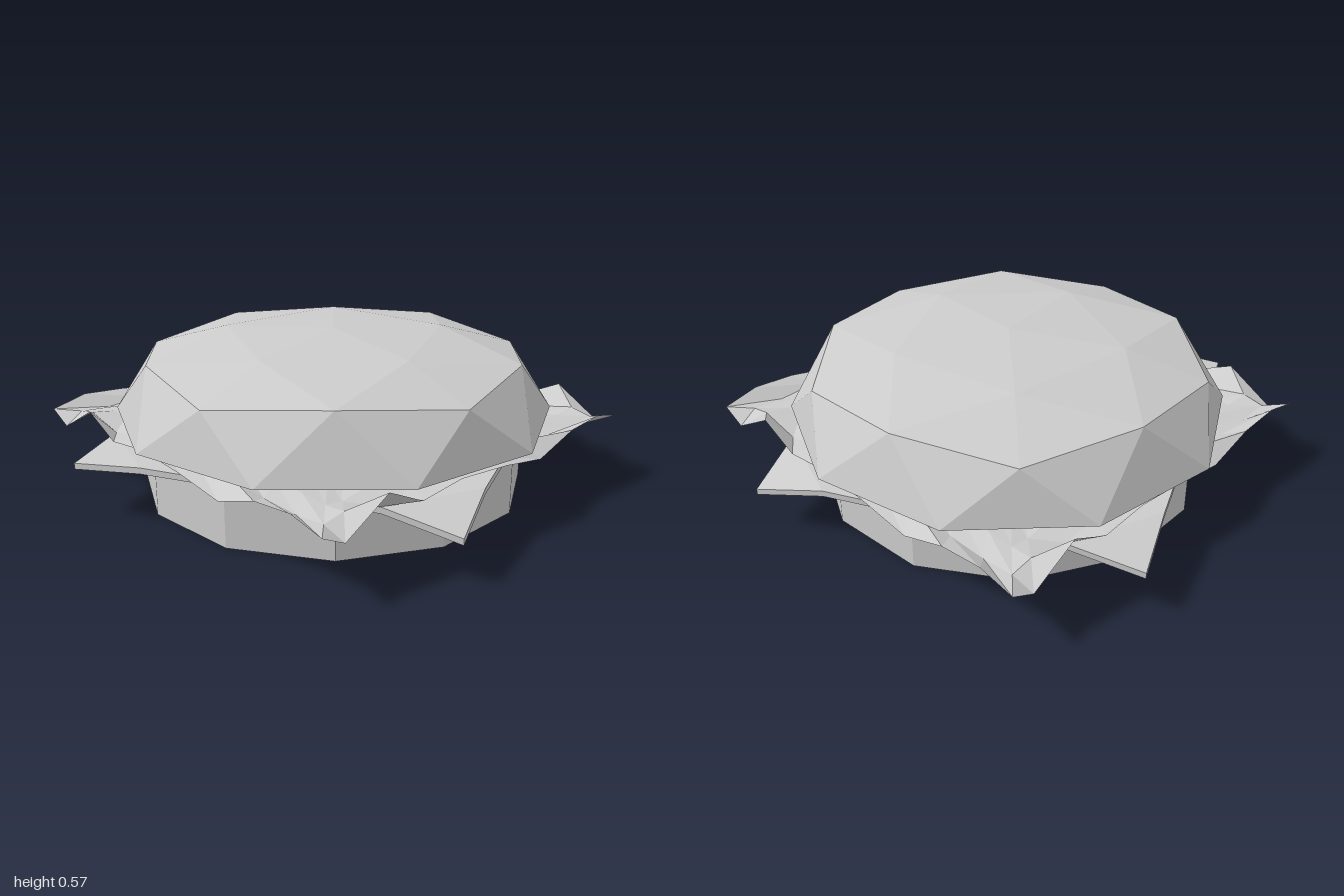
import * as THREE from 'three';

const rad = THREE.MathUtils.degToRad;

// Point at a compass angle (from +x toward +z), radius and height
const polar = (deg, r, y) =>
  new THREE.Vector3(Math.cos(rad(deg)) * r, y, Math.sin(rad(deg)) * r);

// Faceted mesh from a flat list of triangle corners
function facets(name, points, side = THREE.FrontSide) {
  const geometry = new THREE.BufferGeometry().setFromPoints(points);
  geometry.computeVertexNormals();
  return solid(name, geometry, side);
}

function solid(name, geometry, side = THREE.FrontSide) {
  const material = new THREE.MeshStandardMaterial({ color: 0xcccccc, flatShading: true, side });
  const mesh = new THREE.Mesh(geometry, material);
  mesh.name = name;
  return mesh;
}

// Twelve-sided bottom bun
function bottomBun() {
  const mesh = solid('bottomBun', new THREE.CylinderGeometry(0.71, 0.71, 0.2, 12, 1, false, rad(12.4)));
  mesh.position.set(-0.005, 0.1, 0.005);
  return mesh;
}

// Flattened half of a once-divided icosahedron, closed underneath
function topBun() {
  const top = new THREE.Vector3(0, 0.575, 0);
  const base = new THREE.Vector3(0, 0.27, 0);
  const inner = (k) => polar(72 * k, 0.425, 0.552);
  const point = (k) => polar(72 * k, 0.724, 0.462);
  const mid = (k) => polar(72 * k + 36, 0.689, 0.496);
  const rim = (k) => polar(18 + 36 * k, 0.81, 0.27);
  const p = [];
  for (let k = 0; k < 5; k++) {
    const before = rim(2 * k - 1), a = rim(2 * k), b = rim(2 * k + 1);
    p.push(top, inner(k + 1), inner(k));
    p.push(inner(k), inner(k + 1), mid(k));
    p.push(inner(k), mid(k), point(k));
    p.push(inner(k), point(k), mid(k - 1));
    p.push(point(k), mid(k), a);
    p.push(mid(k), point(k + 1), b);
    p.push(point(k), a, before);
    p.push(mid(k), b, a);
    p.push(base, before, a, base, a, b);
  }
  return facets('topBun', p);
}

// Square cheese slice whose four corners fold down
function cheese() {
  const flat = 0.222, thickness = 0.022, fold = 0.19;
  const cornerHeights = [0.163, 0.2, 0.175, 0.168];
  const down = (v) => v.clone().setY(v.y - thickness);
  const corner = (k, y = flat) => polar(84.7 + 90 * k, 0.966, y);
  const centre = new THREE.Vector3(0, flat, 0);
  const tris = [], outline = [];
  for (let k = 0; k < 4; k++) {
    const tip = corner(k, cornerHeights[k]);
    const before = corner(k).lerp(corner(k - 1), fold);
    const after = corner(k).lerp(corner(k + 1), fold);
    const next = corner(k + 1).lerp(corner(k), fold);
    tris.push([centre, after, before], [centre, next, after], [before, after, tip]);
    outline.push(before, tip, after);
  }
  const p = [];
  for (const [a, b, c] of tris) p.push(a, b, c, down(a), down(c), down(b));
  outline.forEach((a, i) => {
    const b = outline[(i + 1) % outline.length];
    p.push(a, b, down(b), a, down(b), down(a));
  });
  return facets('cheese', p);
}

// Thin square leaf with a crumpled border
function lettuce() {
  // Position along each side and height of the edge there
  const ruffle = [
    [0, 0.25], [0.06, 0.205], [0.18, 0.308], [0.28, 0.235], [0.4, 0.255],
    [0.55, 0.235], [0.68, 0.205], [0.8, 0.265], [0.91, 0.28],
  ];
  const n = ruffle.length;
  const corner = (k) => polar(110 - 90 * k, 1.06, 0);
  // Each ring: scale from the centre, how strongly the ruffle shows
  const rings = [[1, 1], [0.9, -0.35], [0.78, 0.2], [0.6, 0]].map(([scale, strength]) => {
    const ring = [];
    for (let k = 0; k < 4; k++) {
      ruffle.forEach(([t, y]) => {
        const v = corner(k).lerp(corner(k + 1), t).multiplyScalar(scale);
        ring.push(v.setY(0.245 + (y - 0.245) * strength));
      });
    }
    return ring;
  });
  const centre = new THREE.Vector3(0, 0.245, 0);
  const p = [];
  for (let i = 0; i < 4 * n; i++) {
    const j = (i + 1) % (4 * n);
    for (let r = 0; r < rings.length - 1; r++) {
      const out = rings[r], inn = rings[r + 1];
      p.push(inn[i], out[i], out[j], inn[i], out[j], inn[j]);
    }
    const last = rings[rings.length - 1];
    p.push(centre, last[i], last[j]);
  }
  return facets('lettuce', p, THREE.DoubleSide);
}

export function createModel() {
  const group = new THREE.Group();
  group.name = 'burger';
  group.add(bottomBun(), cheese(), lettuce(), topBun());
  return group;
}
